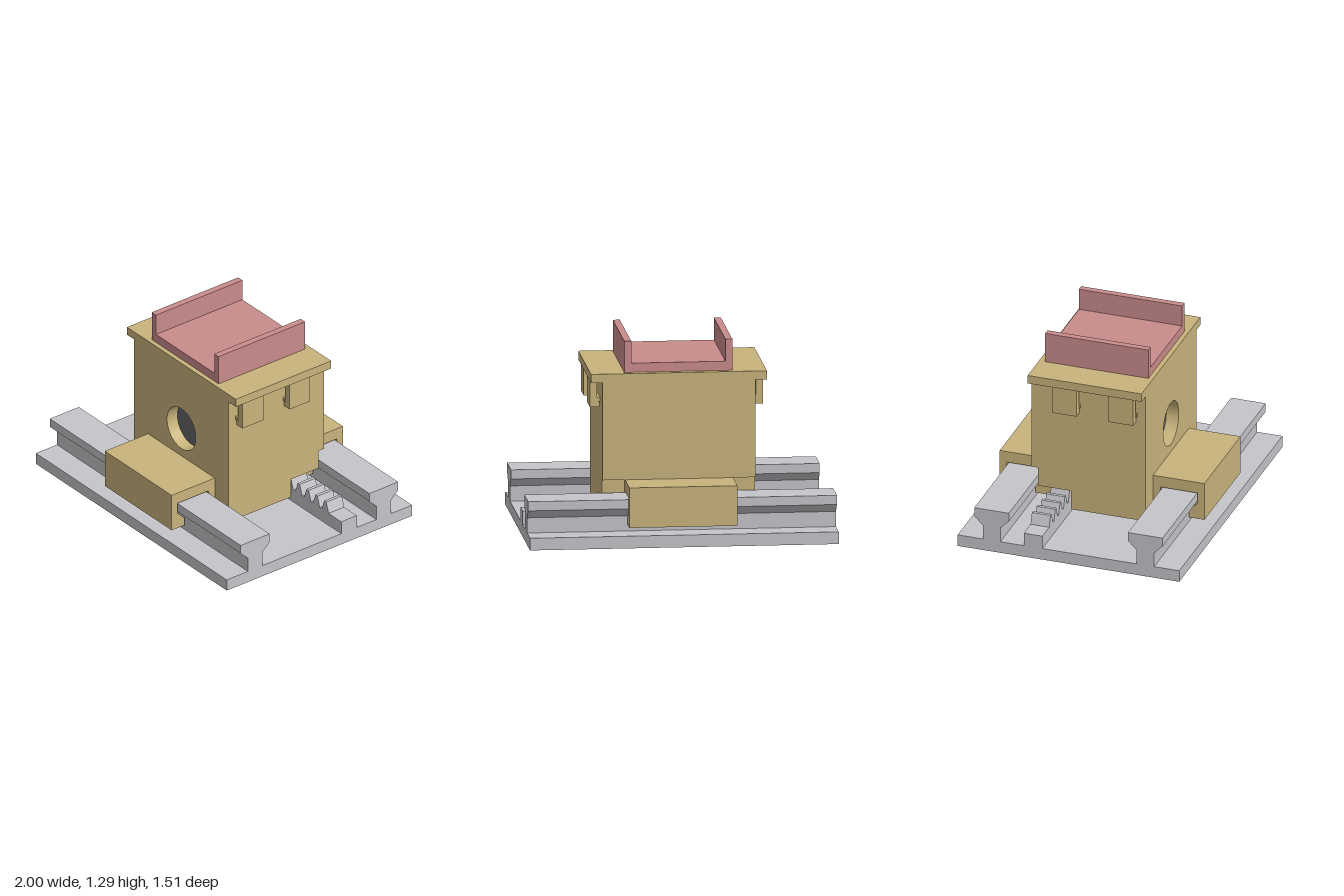
import * as THREE from 'three';

const mat = (name, color) => new THREE.MeshStandardMaterial({ name, color });

export function createModel() {
  const model = new THREE.Group();
  model.name = 'railCarriage';
  const grey = mat('lightGrey', 0xc5c4c9);
  const tan = mat('tan', 0xc8b37b);
  const pink = mat('pink', 0xc98b8b);
  const dark = mat('darkGrey', 0x656469);

  const add = (name, geometry, material) => {
    const mesh = new THREE.Mesh(geometry, material);
    mesh.name = name;
    model.add(mesh);
    return mesh;
  };
  // Box given by its limits on each axis
  const box = (name, material, [x0, x1], [y0, y1], [z0, z1]) => {
    const g = new THREE.BoxGeometry(x1 - x0, y1 - y0, z1 - z0);
    g.translate((x0 + x1) / 2, (y0 + y1) / 2, (z0 + z1) / 2);
    return add(name, g, material);
  };
  const shapeOf = (pts) => new THREE.Shape(pts.map(([a, b]) => new THREE.Vector2(a, b)));
  const extrude = (shape, depth) =>
    new THREE.ExtrudeGeometry(shape, { depth, bevelEnabled: false, curveSegments: 24 });
  // Prism of a [z, y] outline running along x, centred on x = 0
  const prismX = (name, material, pts, length) => {
    const g = extrude(shapeOf(pts), length);
    g.rotateY(-Math.PI / 2).translate(length / 2, 0, 0);
    return add(name, g, material);
  };

  // Base plate
  box('basePlate', grey, [-1, 1], [0, 0.08], [-0.757, 0.757]);

  // Two flared rails
  for (const [name, c] of [['frontRail', 0.525], ['backRail', -0.525]]) {
    const half = [[0.06, 0.08], [0.06, 0.18], [0.118, 0.237], [0.118, 0.297]];
    const pts = [
      ...half.map(([z, y]) => [c + z, y]),
      ...half.slice().reverse().map(([z, y]) => [c - z, y]),
    ];
    prismX(name, grey, pts, 2);
  }

  // Rack bar with trapezoid teeth
  box('rackBar', grey, [-1, 1], [0.08, 0.17], [-0.305, -0.178]);
  const pitch = 0.0924;
  const tooth = extrude(shapeOf([[-0.036, 0.17], [0.036, 0.17], [0.011, 0.243], [-0.011, 0.243]]), 0.127);
  for (let i = -9; i <= 9; i++) {
    add('rackTooth', tooth, grey).position.set(i * pitch, 0, -0.305);
  }

  // Sliding blocks wrapped round the rails
  const slider = (name, c, z0, z1) => prismX(name, tan, [
    [z0, 0.122], [z0, 0.385], [z1, 0.385], [z1, 0.122],
    [c + 0.07, 0.122], [c + 0.07, 0.177], [c + 0.127, 0.233], [c + 0.127, 0.308],
    [c - 0.127, 0.308], [c - 0.127, 0.233], [c - 0.07, 0.177], [c - 0.07, 0.122],
  ], 0.7);
  slider('frontSlider', 0.525, 0.347, 0.7);
  slider('backSlider', -0.525, -0.698, -0.345);

  // Housing with a channel over the rack
  prismX('housing', tan, [
    [0.26, 0.122], [0.26, 1.025], [-0.43, 1.025], [-0.43, 0.385],
    [-0.387, 0.385], [-0.387, 0.255], [-0.16, 0.255], [-0.16, 0.122],
  ], 0.99);

  // Front wall with a round opening, and the motor behind it
  const wall = shapeOf([[-0.495, 0.122], [0.495, 0.122], [0.495, 1.025], [-0.495, 1.025]]);
  const hole = new THREE.Path();
  hole.absarc(0, 0.59, 0.15, 0, Math.PI * 2, true);
  wall.holes.push(hole);
  add('frontWall', extrude(wall, 0.088).translate(0, 0, 0.26), tan);
  const motor = new THREE.CylinderGeometry(0.155, 0.155, 0.3, 48);
  motor.rotateX(Math.PI / 2).translate(0, 0.59, 0.114);
  add('motor', motor, dark);

  // Pinion, its lower teeth meshing with the rack
  const count = 26;
  const gearPts = [];
  for (let i = 0; i < count; i++) {
    const a = -Math.PI / 2 + ((i + 0.5) / count) * Math.PI * 2;
    for (const [da, r] of [[-0.09, 0.338], [-0.03, 0.408], [0.03, 0.408], [0.09, 0.338]]) {
      gearPts.push([r * Math.cos(a + da), r * Math.sin(a + da)]);
    }
  }
  add('pinion', extrude(shapeOf(gearPts), 0.145).translate(0, 0.59, -0.31), dark);

  // Lid and its snap clips on both sides
  box('lid', tan, [-0.57, 0.57], [1.025, 1.082], [-0.43, 0.348]);
  const clipShape = [[0.515, 1.025], [0.515, 0.875], [0.499, 0.865], [0.499, 0.835], [0.56, 0.835], [0.56, 1.025]];
  for (const side of [1, -1]) {
    for (const [z0, z1] of [[0.116, 0.286], [-0.264, -0.1]]) {
      const pts = clipShape.map(([x, y]) => [side * x, y]);
      add('lidClip', extrude(shapeOf(pts), z1 - z0).translate(0, 0, z0), tan);
      // Catch on the housing
      const xs = side > 0 ? [0.49, 0.514] : [-0.514, -0.49];
      box('clipCatch', tan, xs, [0.87, 0.898], [z0 - 0.006, z1 + 0.006]);
    }
  }

  // Open-ended tray
  const tray = shapeOf([
    [-0.35, 1.082], [0.35, 1.082], [0.35, 1.287], [0.305, 1.287],
    [0.305, 1.142], [-0.305, 1.142], [-0.305, 1.287], [-0.35, 1.287],
  ]);
  add('tray', extrude(tray, 0.705).translate(0, 0, -0.388), pink);

  return model;
}
